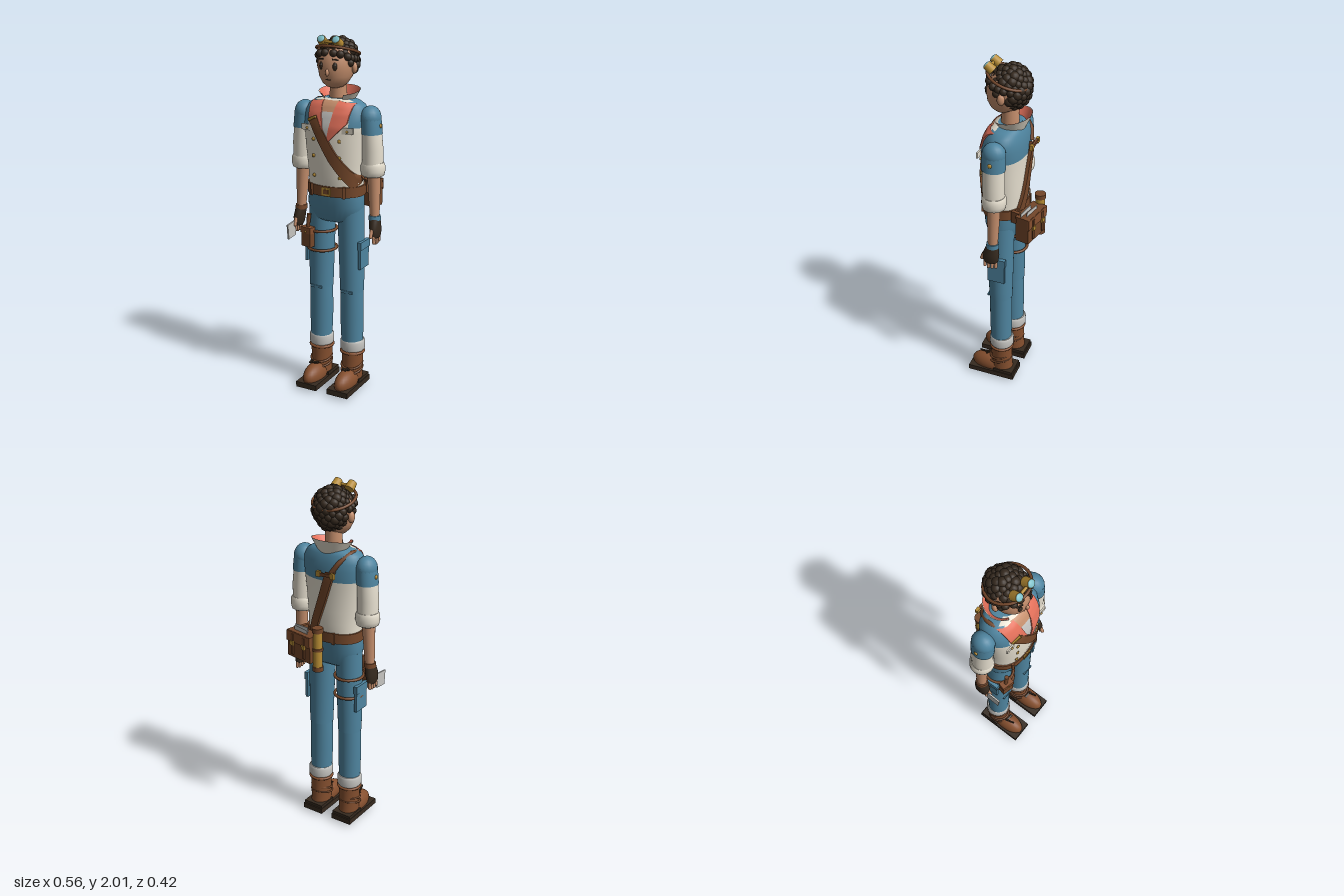
import * as THREE from 'three';
import { toCreasedNormals } from 'three/addons/utils/BufferGeometryUtils.js';

const mat = (name, color, side = THREE.FrontSide) => Object.assign(new THREE.MeshStandardMaterial({ color, side }), { name });

export function createModel() {
  const D = THREE.DoubleSide;
  const skin = mat('skin', 0xc48e6c), blue = mat('denim blue', 0x4f85a0), cream = mat('cream cloth', 0xe6dfcf, D);
  const brown = mat('strap leather', 0x74472a), boot = mat('boot leather', 0x86502f), dark = mat('dark brown', 0x362a1f);
  const coral = mat('coral lining', 0xe2705a, D), gold = mat('brass', 0xb88d35), lens = mat('lens teal', 0x7fc0c8);
  const grey = mat('pale grey', 0xc6c5c1);
  const root = new THREE.Group();

  const add = (name, geo, m, p = [0, 0, 0], r = [0, 0, 0], parent = root) => {
    const mesh = new THREE.Mesh(geo, m);
    mesh.name = name;
    mesh.position.set(...p);
    mesh.rotation.set(...r);
    parent.add(mesh);
    return mesh;
  };
  const box = (name, m, s, p, r, parent) => add(name, new THREE.BoxGeometry(...s), m, p, r, parent);
  const cyl = (name, m, r1, r2, h, p, r, parent) => add(name, new THREE.CylinderGeometry(r1, r2, h, 20), m, p, r, parent);
  const ball = (name, m, s, p, r, parent, seg = 18) => {
    const b = add(name, new THREE.SphereGeometry(1, seg, Math.ceil(seg * 0.7)), m, p, r, parent);
    b.scale.set(...s);
    return b;
  };
  const ring = (name, m, rx, rz, tube, p, tilt = 0) => {
    const g = new THREE.TorusGeometry(1, tube / rx, 8, 36).rotateX(Math.PI / 2).scale(rx, rx, rz);
    return add(name, g, m, p, [tilt, 0, 0]);
  };

  // Capped skin over horizontal sections [y, cx, cz, rx, rz]; paint picks a material per face
  const loft = (name, rows, m, { seg = 32, pow = 2, paint = () => 0 } = {}) => {
    const v = [], lists = [[], []];
    const sp = (a) => Math.sign(a) * Math.abs(a) ** (2 / pow);
    const pt = ([y, cx, cz, rx, rz], j) => {
      const a = (j / seg) * Math.PI * 2;
      return [cx + rx * sp(Math.sin(a)), y, cz + rz * sp(Math.cos(a))];
    };
    rows.forEach((r) => { for (let j = 0; j < seg; j++) v.push(...pt(r, j)); });
    for (let i = 0; i < rows.length - 1; i++) for (let j = 0; j < seg; j++) {
      const a = i * seg + j, b = i * seg + (j + 1) % seg;
      const [x, , z] = pt(rows[i], j + 0.5), y = (rows[i][0] + rows[i + 1][0]) / 2;
      lists[paint(x, y, z)].push(a, b, b + seg, a, b + seg, a + seg);
    }
    [0, rows.length - 1].forEach((i) => {
      const c = v.length / 3, r = rows[i];
      v.push(r[1], r[0], r[2]);
      for (let j = 0; j < seg; j++) v.push(...pt(r, j));
      for (let j = 0; j < seg; j++) {
        const a = c + 1 + j, b = c + 1 + (j + 1) % seg;
        lists[paint(r[1], r[0], -1)].push(...(i ? [c, a, b] : [c, b, a]));
      }
    });
    const g = new THREE.BufferGeometry();
    g.setAttribute('position', new THREE.Float32BufferAttribute(v, 3));
    g.setIndex([...lists[0], ...lists[1]]);
    if (Array.isArray(m)) {
      g.addGroup(0, lists[0].length, 0);
      g.addGroup(lists[0].length, lists[1].length, 1);
    }
    g.computeVertexNormals();
    return add(name, g, m);
  };

  // Torso: cream shirt with a blue yoke over the shoulders and upper back
  const keys = [[1.15, .155, .02, .108], [1.25, .155, .022, .117], [1.4, .17, .025, .12], [1.52, .182, .021, .12],
    [1.59, .18, .013, .108], [1.63, .16, .008, .092], [1.65, .125, .004, .078], [1.662, .07, 0, .06]];
  const section = (y) => {
    let i = 0;
    while (i < keys.length - 2 && y > keys[i + 1][0]) i++;
    const a = keys[i], b = keys[i + 1], t = THREE.MathUtils.clamp((y - a[0]) / (b[0] - a[0]), 0, 1);
    return a.map((n, k) => n + (b[k] - n) * t);
  };
  const P = 2.25;
  const surfZ = (x, y, s = 1) => {
    const [, rx, cz, rz] = section(y);
    return cz + s * rz * (1 - Math.min(1, Math.abs(x / rx)) ** P) ** (1 / P);
  };
  const ys = [1.15, 1.2, 1.25, 1.32, 1.4, 1.46, 1.49, 1.52, 1.55, 1.59, 1.63, 1.65, 1.662];
  loft('shirt', ys.map((y) => { const s = section(y); return [y, 0, s[2], s[1], s[3]]; }), [cream, blue],
    { seg: 56, pow: P, paint: (x, y, z) => (y > 1.49 && (z < 0.01 || (Math.abs(x) > 0.115 && y > 1.52)) ? 1 : 0) });

  // Thin cloth strip between two edge lines, laid on the torso
  const patch = (name, m, A, B, off, s = 1, n = 8) => {
    const v = [], idx = [], cols = [[0, -.006], [0, off], [.25, off], [.5, off], [.75, off], [1, off], [1, -.006]];
    const at = (L, t) => {
      const k = Math.min(L.length - 2, Math.floor(t * (L.length - 1))), f = t * (L.length - 1) - k;
      return [0, 1].map((c) => L[k][c] + (L[k + 1][c] - L[k][c]) * f);
    };
    const N = n * (A.length - 1);
    for (let i = 0; i <= N; i++) {
      const a = at(A, i / N), b = at(B, i / N);
      cols.forEach(([t, o]) => {
        const x = a[0] + (b[0] - a[0]) * t, y = a[1] + (b[1] - a[1]) * t;
        v.push(x, y, surfZ(x, y, s) + s * o);
      });
    }
    const w = cols.length;
    for (let i = 0; i < N; i++) for (let j = 0; j < w - 1; j++) {
      const a = i * w + j, b = a + 1, c = a + w, d = c + 1;
      idx.push(...(s > 0 ? [a, c, b, b, c, d] : [a, b, c, b, d, c]));
    }
    const g = new THREE.BufferGeometry();
    g.setAttribute('position', new THREE.Float32BufferAttribute(v, 3));
    g.setIndex(idx);
    return add(name, toCreasedNormals(g, 0.7), m);
  };
  // Edges run downward, first edge at lower x
  patch('undershirt', grey, [[-.05, 1.61], [.005, 1.44]], [[.05, 1.61], [.015, 1.44]], .004);
  patch('openNeck', skin, [[-.06, 1.655], [-.045, 1.6]], [[.06, 1.655], [.045, 1.6]], .006);
  const inner = [[.045, 1.655], [.03, 1.57], [.006, 1.445]], outer = [[.13, 1.645], [.115, 1.545], [.014, 1.44]];
  const flip = (L) => L.map(([x, y]) => [-x, y]);
  patch('leftLapel', coral, inner, outer, .01);
  patch('rightLapel', coral, flip(outer), flip(inner), .01);

  // Standing collar: pale outside, coral inside, higher at the back
  [[0, coral, 'collarLining'], [.004, cream, 'collar']].forEach(([o, m, name]) => {
    const g = new THREE.CylinderGeometry(.112 + o, .072 + o, .062, 32, 3, true, .6, Math.PI * 2 - 1.2);
    const p = g.attributes.position;
    for (let i = 0; i < p.count; i++) p.setY(i, p.getY(i) - p.getZ(i) * .14 * (p.getY(i) + .031) / .062);
    g.scale(1, 1, .88);
    g.computeVertexNormals();
    add(name, g, m, [0, 1.667, -.014]);
  });

  // Shoulder strap, front and back, with brass buckles
  patch('strapFront', brown, [[-.115, 1.56], [.02, 1.34], [.14, 1.18]], [[-.065, 1.58], [.06, 1.385], [.172, 1.235]], .012);
  patch('strapBack', brown, [[-.075, 1.55], [-.02, 1.38], [.05, 1.18]], [[-.025, 1.55], [.03, 1.38], [.1, 1.18]], .018, -1);
  const over = [[-.09, 1.57, .11], [-.115, 1.628, .05], [-.122, 1.64, -.02], [-.09, 1.6, -.08], [-.05, 1.54, -.1]];
  add('strapOverShoulder', new THREE.TubeGeometry(new THREE.CatmullRomCurve3(over.map((p) => new THREE.Vector3(...p))), 24, .013, 8), brown);
  box('strapFrontBuckle', gold, [.055, .014, .012], [-.088, 1.56, surfZ(-.088, 1.56) + .014], [0, -.3, .45]);
  box('strapBackBar', brown, [.1, .018, .012], [-.03, 1.535, -.124], [0, 0, -.1]);
  [-.075, .012].forEach((x) => box('strapBackBuckle', gold, [.024, .03, .016], [x, 1.535, -.124]));

  // Shirt buttons and chest pocket flaps
  const stud = (x, y, z, r = .01) => ball('button', gold, [r, r, .006], [x, y, z], undefined, root, 12);
  [1.45, 1.36, 1.25].forEach((y) => [-.078, .078].forEach((x) => stud(x, y, surfZ(x, y) + .003)));
  [-1, 1].forEach((s) => {
    box('chestPocketFlap', cream, [.07, .032, .008], [s * .12, 1.508, .126], [0, 0, s * .06]);
    stud(s * .12, 1.505, .131, .007);
  });

  // Belt, hips
  loft('hips', [[.985, 0, .02, .125, .062], [1.0, 0, .021, .147, .082], [1.08, 0, .024, .164, .1], [1.16, 0, .022, .157, .106]], blue, { pow: 2.3 });
  loft('belt', [[1.14, 0, .02, .164, .118], [1.197, 0, .02, .164, .118]], brown, { pow: 2.3, seg: 44 });
  [[.026, .022], [.016, .012]].forEach(([a, b], i) => box('beltBuckle', i ? brown : gold, [a * 2, b * 2, .01], [0, 1.168, .138 + i * .003]));
  [-.1, .1, -.06, .06].forEach((x, i) => box('beltLoop', brown, [.014, .066, .012], [x, 1.168, i < 2 ? .123 : -.093], [0, i < 2 ? x * 5 : -x * 3, 0]));

  [-1, 1].forEach((s) => {
    const L = (rows) => rows.map(([y, x, z, rx, rz]) => [y, s * x, z, rx, rz]);
    // Arm
    ball('shoulderCap', blue, [.056, .066, .064], [s * .2, 1.567, .012]);
    loft('sleeveTop', L([[1.485, .207, .012, .057, .064], [1.53, .204, .012, .056, .065], [1.58, .2, .012, .052, .062]]), blue);
    loft('sleeve', L([[1.28, .213, .01, .056, .058], [1.4, .212, .011, .058, .06], [1.5, .206, .012, .053, .06]]), cream);
    loft('sleeveCuff', L([[1.253, .214, .008, .05, .05], [1.26, .214, .008, .061, .061], [1.285, .214, .008, .067, .066], [1.315, .214, .008, .066, .065], [1.33, .214, .008, .058, .058]]), cream);
    ball('sleeveStud', gold, [.008, .012, .012], [s * .258, 1.53, .012]);
    loft('forearm', L([[1.0, .231, .012, .024, .026], [1.12, .226, .01, .031, .031], [1.26, .22, .008, .036, .036]]), skin);
    loft('glove', L([[.915, .243, .02, .016, .034], [.93, .242, .02, .025, .043], [.97, .238, .02, .029, .047], [1.01, .233, .015, .03, .036], [1.03, .231, .013, .03, .031]]), dark);
    loft('wristBand', L([[1.012, .231, .013, .033, .036], [1.037, .23, .012, .032, .034]]), s > 0 ? blue : brown);
    for (let i = 0; i < 4; i++) add('finger', new THREE.CapsuleGeometry(.0095, .032, 4, 8), skin, [s * .245, .908 - (i % 3 ? .006 : 0), -.01 + i * .021], [0, 0, s * .08]);
    add('thumb', new THREE.CapsuleGeometry(.01, .035, 4, 8), skin, [s * .237, .945, .068], [-.35, 0, 0]);

    // Leg
    loft('thigh', L([[.582, .097, .02, .067, .066], [.64, .097, .02, .069, .067], [.85, .093, .02, .073, .071], [1.07, .088, .02, .074, .074]]), blue);
    loft('shin', L([[.24, .1, .019, .061, .06], [.42, .098, .02, .067, .063], [.6, .097, .02, .065, .063]]), blue);
    box('kneeSeam', blue, [.07, .014, .008], [s * .097, .588, .085]);
    loft('trouserCuff', L([[.222, .101, .015, .064, .064], [.232, .101, .015, .071, .07], [.275, .101, .015, .071, .07], [.287, .101, .015, .063, .063]]), grey);
    box('thighPocket', blue, [.016, .15, .1], [s * .167, .803, .02]);
    box('thighPocketFlap', blue, [.022, .045, .108], [s * .168, .862, .02]);

    // Boot
    loft('bootShaft', L([[.04, .1, .015, .056, .066], [.12, .1, .016, .058, .062], [.22, .1, .016, .063, .062]]), boot);
    ring('bootRim', boot, .065, .064, .008, [s * .1, .212, .016]);
    ball('bootToe', boot, [.055, .066, .115], [s * .102, .05, .088], [0, 0, 0], root, 24);
    [.105, .135].forEach((y, i) => ring('bootStrap', brown, .059, .066 - i * .003, .006, [s * .1, y, .022], .25));
    box('bootLace', dark, [.05, .008, .012], [s * .1, .122, .1], [.5, 0, .2]);
    box('bootLoop', dark, [.008, .008, .06], [s * .115, .132, .118], [-.2, .2, 0]);
    box('sole', dark, [.13, .032, .282], [s * .1, .016, .065]);
    box('heel', dark, [.122, .02, .12], [s * .1, .04, -.01]);
  });

  // Thigh straps and tool pouch on the right leg
  [.92, .808].forEach((y) => ring('thighStrap', brown, .079, .082, .008, [-.09, y, .02]));
  box('toolPouch', brown, [.066, .105, .036], [-.135, .882, .106], [0, -.25, 0]);
  box('toolPouchFlap', boot, [.072, .035, .042], [-.135, .925, .107], [0, -.25, 0]);
  cyl('toolHandle', brown, .012, .01, .09, [-.133, .972, .104], [0, 0, -.12]);
  ball('pouchStud', gold, [.006, .006, .005], [-.14, .917, .128]);

  // Paper card held in the right hand
  box('paperCard', grey, [.009, .085, .078], [-.245, .905, .102], [.1, 0, 0]);

  // Satchel with papers and a brass scroll tube
  const bag = new THREE.Group();
  bag.name = 'satchel';
  bag.position.set(.091, 1.118, -.152);
  bag.rotation.y = -.2;
  root.add(bag);
  box('satchelBody', brown, [.176, .148, .078], [0, 0, 0], undefined, bag);
  box('satchelLid', brown, [.182, .012, .084], [0, .072, 0], undefined, bag);
  box('satchelFlap', boot, [.182, .06, .008], [0, .046, -.041], undefined, bag);
  [-.045, .045].forEach((x) => {
    box('satchelStrap', brown, [.018, .12, .006], [x, .005, -.046], undefined, bag);
    box('satchelClasp', gold, [.026, .024, .01], [x, .012, -.048], undefined, bag);
  });
  [-.012, .012].forEach((z, i) => box('papers', grey, [.1, .04, .004], [.01 + i * .02, .08, z], [0, 0, .06 - i * .12], bag));
  box('satchelHanger', brown, [.02, .07, .05], [.06, .05, .055], undefined, bag);
  cyl('scrollTube', gold, .026, .026, .23, [-.012, 1.122, -.168]);
  [[1.012, .026], [1.125, .016], [1.236, .026]].forEach(([y, h]) => cyl('scrollTubeBand', brown, .03, .03, h, [-.012, y, -.168]));

  // Neck, head, face
  cyl('neck', skin, .044, .05, .14, [0, 1.69, 0]);
  loft('head', [[1.718, 0, .038, .025, .025], [1.725, 0, .036, .046, .046], [1.745, 0, .032, .068, .072], [1.78, 0, .026, .088, .094], [1.83, 0, .02, .098, .106],
    [1.88, 0, .014, .098, .104], [1.92, 0, .006, .085, .088], [1.95, 0, 0, .055, .06]], skin);
  ball('nose', skin, [.01, .019, .013], [0, 1.806, .124]);
  box('mouth', dark, [.028, .005, .006], [0, 1.768, .115]);
  [-1, 1].forEach((s) => {
    ball('ear', skin, [.016, .03, .02], [s * .102, 1.825, .012], [0, s * .3, 0]);
    ball('eye', dark, [.012, .021, .007], [s * .041, 1.838, .115], [0, s * .35, 0]);
    ball('eyeGlint', grey, [.003, .004, .003], [s * .041 + .004, 1.846, .1205]);
    box('brow', dark, [.034, .007, .008], [s * .042, 1.873, .112], [0, s * .4, -s * .12]);
  });

  // Curly hair: a core covered with small balls
  const hair = new THREE.Group();
  hair.name = 'hair';
  root.add(hair);
  ball('hairCore', dark, [.094, .1, .088], [0, 1.862, -.022], undefined, hair);
  const N = 130;
  for (let i = 0; i < N; i++) {
    const h = 1 - (2 * i + 1) / N, r = Math.sqrt(1 - h * h), a = i * 2.39996;
    const x = .089 * r * Math.sin(a), y = 1.86 + .099 * h, z = -.006 + .091 * r * Math.cos(a);
    if (y < 1.76 || (z > -.015 && y < 1.893)) continue;
    const k = .025 + .004 * Math.sin(i * 7.3);
    ball('curl', dark, [k, k, k], [x, y, z], undefined, hair, 12);
  }
  [-1, 1].forEach((s) => [[.091, 1.876, .03], [.09, 1.852, .04], [.086, 1.885, .06], [.094, 1.87, 0], [.06, 1.9, .09], [.025, 1.905, .1]]
    .forEach(([x, y, z]) => ball('curl', dark, [.021, .021, .021], [s * x, y, z], undefined, hair, 12)));

  // Goggles pushed up on the head
  ring('goggleBand', brown, .114, .118, .008, [0, 1.908, .004], -.3);
  [-1, 1].forEach((s) => {
    const cup = new THREE.Group();
    cup.name = 'goggleCup';
    cup.position.set(s * .044, 1.963, .092);
    cup.rotation.x = .9;
    root.add(cup);
    cyl('goggleRim', gold, .023, .027, .046, [0, 0, 0], undefined, cup);
    ball('goggleLens', lens, [.021, .009, .021], [0, .022, 0], undefined, cup);
  });
  cyl('goggleBridge', gold, .008, .008, .05, [0, 1.962, .1], [0, 0, Math.PI / 2]);
  return root;
}
